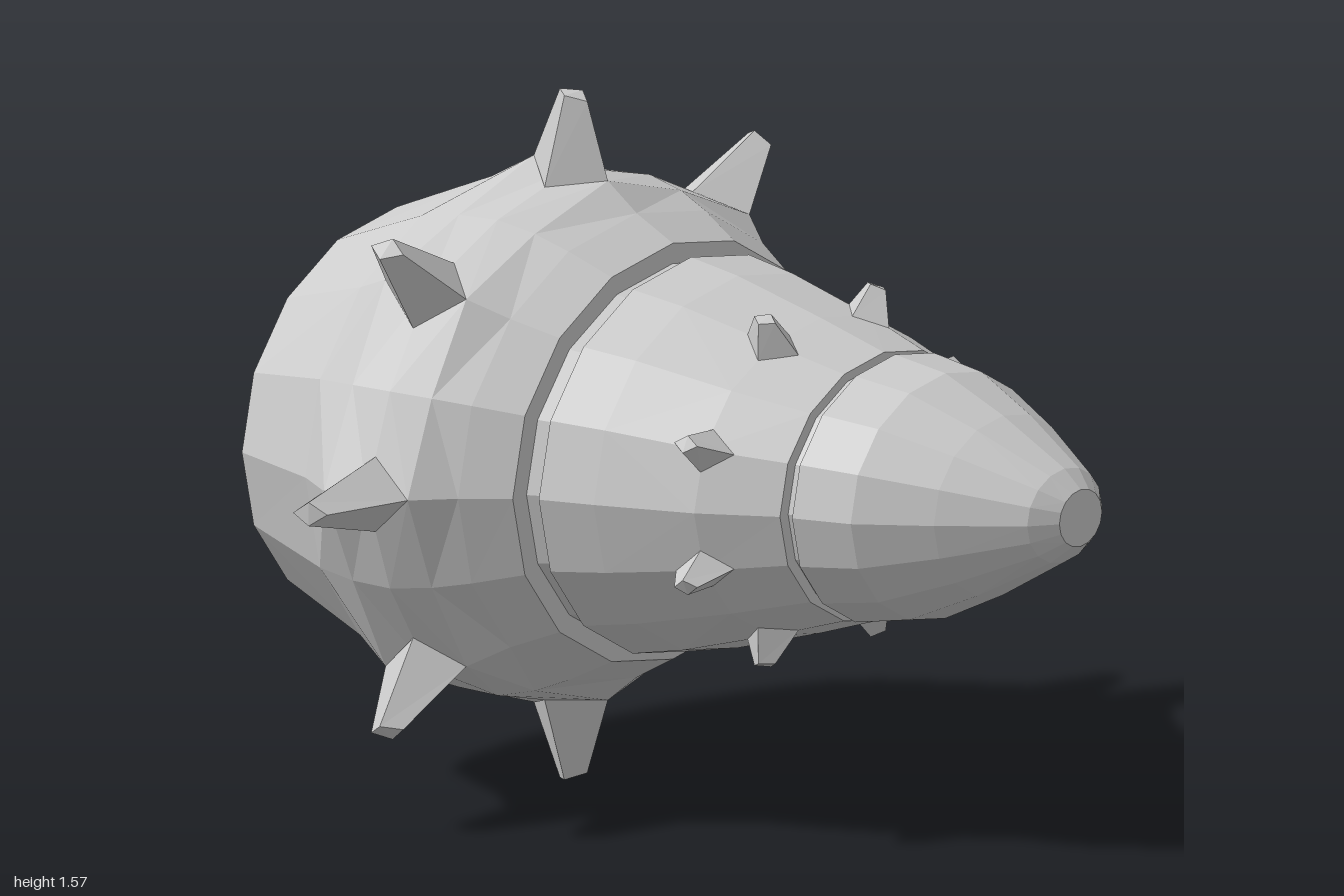
import * as THREE from 'three';

const SIDES = 16;
const CENTRE_Y = 0.79;

// point on an elliptical section [z, rx, ry, bulge] at side j; bulge swells every second side
const point = ([z, rx, ry, bulge = 1], j) => {
  const a = (j / SIDES) * Math.PI * 2;
  const s = j % 2 === 0 ? bulge : 1;
  return new THREE.Vector3(rx * s * Math.cos(a), ry * s * Math.sin(a), z);
};

function meshFrom(name, triangles, material) {
  const geometry = new THREE.BufferGeometry().setFromPoints(triangles);
  geometry.computeVertexNormals();
  const mesh = new THREE.Mesh(geometry, material);
  mesh.name = name;
  return mesh;
}

// closed faceted shell through elliptical sections listed from front to back
function shell(name, sections, material) {
  const t = [];
  const first = sections[0], last = sections[sections.length - 1];
  for (let j = 0; j < SIDES; j++) {
    for (let i = 0; i < sections.length - 1; i++) {
      const a = point(sections[i], j), b = point(sections[i + 1], j);
      const c = point(sections[i + 1], j + 1), d = point(sections[i], j + 1);
      // diagonals always start on the swollen sides, so the shell mirrors cleanly
      if (j % 2 === 0) t.push(a, b, c, a, c, d);
      else t.push(a, b, d, b, c, d);
    }
    t.push(new THREE.Vector3(0, 0, first[0]), point(first, j), point(first, j + 1));
    t.push(new THREE.Vector3(0, 0, last[0]), point(last, j + 1), point(last, j));
  }
  return meshFrom(name, t, material);
}

// blunt four-sided spike on side j: diamonds of [front, middle, back] sections for base and tip
function spike(name, j, base, baseSpread, tip, tipSpread, material) {
  const diamond = ([front, middle, back], spread) => {
    const side = (k) => point(middle, j).lerp(point(middle, j + k), spread);
    return [side(1), point(front, j), side(-1), point(back, j)];
  };
  const b = diamond(base, baseSpread), p = diamond(tip, tipSpread);
  const t = [];
  for (let k = 0; k < 4; k++) {
    const n = (k + 1) % 4;
    t.push(b[k], b[n], p[n], b[k], p[n], p[k]);
  }
  t.push(p[0], p[1], p[2], p[0], p[2], p[3]);
  return meshFrom(name, t, material);
}

export function createModel() {
  const model = new THREE.Group();
  model.name = 'spikedShell';
  const body = new THREE.Group();
  body.name = 'body';
  body.position.y = CENTRE_Y;
  model.add(body);
  const grey = new THREE.MeshStandardMaterial({ color: 0xcccccc, flatShading: true });
  grey.name = 'grey';

  // three tapering segments joined by recessed collars
  const rear = [[-0.18, 0.6, 0.475], [-0.28, 0.67, 0.53], [-0.36, 0.715, 0.565, 1.05],
    [-0.455, 0.745, 0.588, 1.04], [-0.565, 0.735, 0.584, 1.07],
    [-0.68, 0.7, 0.562], [-0.945, 0.58, 0.455]];
  const middle = [[0.405, 0.39, 0.305], [0.23, 0.475, 0.36], [0, 0.54, 0.425], [-0.13, 0.57, 0.45]];
  const nose = [[0.95, 0.08, 0.065], [0.905, 0.14, 0.107], [0.735, 0.26, 0.205],
    [0.575, 0.355, 0.28], [0.435, 0.385, 0.304]];
  body.add(shell('noseSegment', nose, grey));
  body.add(shell('frontCollar', [[0.44, 0.355, 0.28], [0.4, 0.36, 0.285]], grey));
  body.add(shell('middleSegment', middle, grey));
  body.add(shell('rearCollar', [[-0.125, 0.53, 0.415], [-0.185, 0.55, 0.43]], grey));
  body.add(shell('rearSegment', rear, grey));

  // large spikes round the widest section, small ones round the middle segment
  const largeBase = rear.slice(2, 5);
  const largeTip = [[-0.417, 0.975, 0.767], [-0.455, 1, 0.787], [-0.493, 1, 0.787]];
  const smallBase = [[0.296, 0.437, 0.335], middle[1], [0.165, 0.492, 0.373]];
  const smallTip = [[0.257, 0.541, 0.421], [0.23, 0.555, 0.432], [0.203, 0.555, 0.432]];
  for (let i = 0; i < 8; i++) {
    body.add(spike('largeSpike', i * 2, largeBase, 0.38, largeTip, 0.09, grey));
    body.add(spike('smallSpike', i * 2 + 1, smallBase, 0.35, smallTip, 0.12, grey));
  }
  return model;
}
